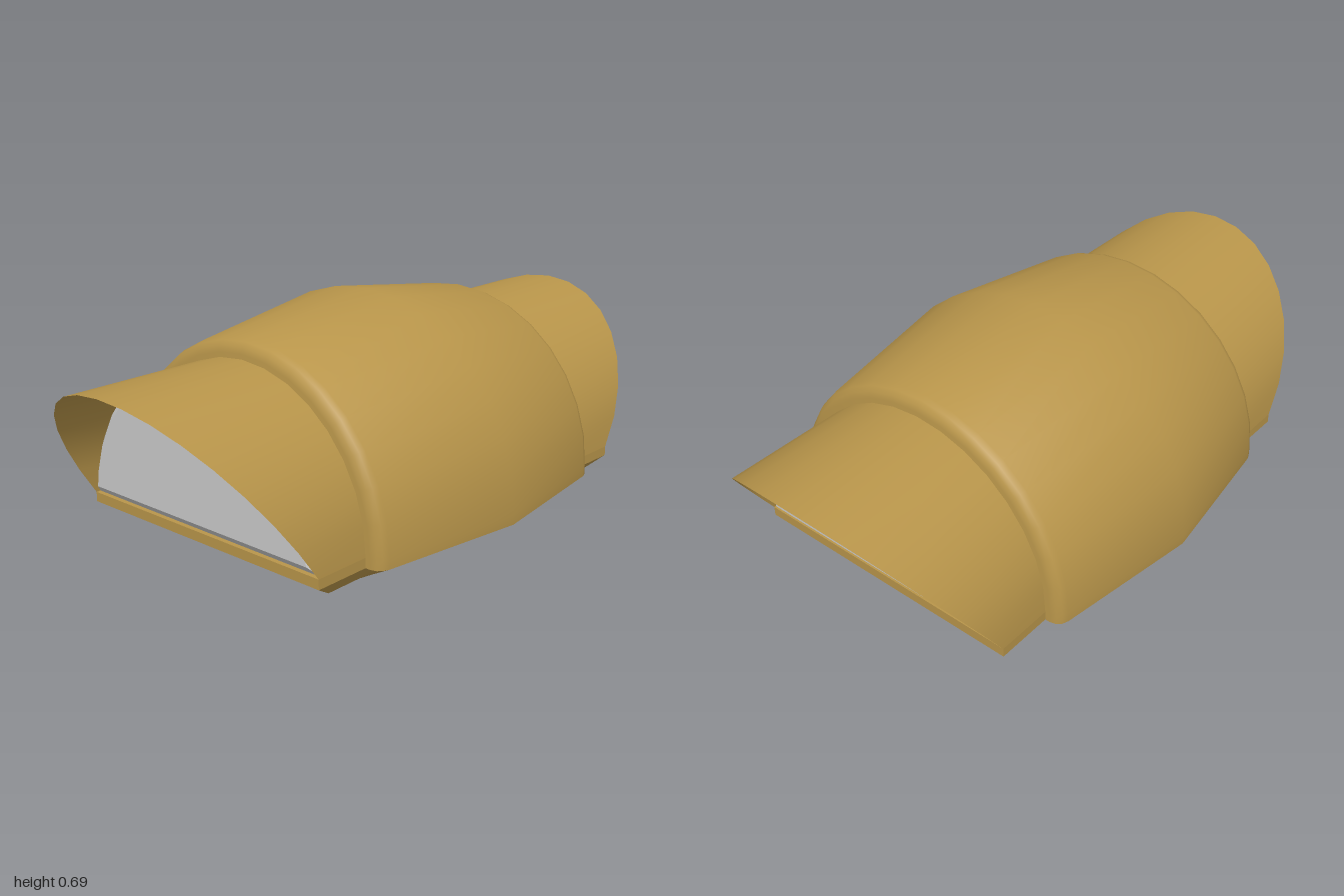
import * as THREE from 'three';
import { toCreasedNormals } from 'three/addons/utils/BufferGeometryUtils.js';

const SPRING = 0.105; // height where the arches begin
const RIM = 0.075;    // top of the chamfered footing
const SEGS = 16;

const brown = new THREE.MeshStandardMaterial({ color: 0xb8954a });
const brownShell = new THREE.MeshStandardMaterial({ color: 0xb8954a, side: THREE.DoubleSide });
const grey = new THREE.MeshStandardMaterial({ color: 0xcccccc });

// Skin a row of equal-length cross-sections, optionally closed and capped
function loft(rings, { closed = true, capFirst = false, capLast = false } = {}) {
  const pos = [];
  const tri = (...pts) => pts.forEach((p) => pos.push(...p));
  const n = rings[0].length;
  for (let j = 0; j < rings.length - 1; j++) {
    for (let i = 0; i < (closed ? n : n - 1); i++) {
      const k = (i + 1) % n;
      const a = rings[j][i], b = rings[j + 1][i], c = rings[j + 1][k], d = rings[j][k];
      tri(a, b, c);
      tri(a, c, d);
    }
  }
  const cap = (ring, last) => {
    // hub lies mid-height, in the plane of the ring's highest point
    const ys = ring.map((p) => p[1]);
    const top = ring[ys.indexOf(Math.max(...ys))];
    const hub = [Math.abs(top[2]) < 0.01 ? top[0] : 0, Math.max(RIM, Math.min(...ys)), 0];
    for (let i = 0; i < n; i++) {
      const k = (i + 1) % n;
      if (last) tri(hub, ring[k], ring[i]);
      else tri(hub, ring[i], ring[k]);
    }
  };
  if (capFirst) cap(rings[0], false);
  if (capLast) cap(rings[rings.length - 1], true);
  const geo = new THREE.BufferGeometry();
  geo.setAttribute('position', new THREE.Float32BufferAttribute(pos, 3));
  return toCreasedNormals(geo, 0.6);
}

// Half-circle of radius r from +z over the top to -z, as [y, z]
function arch(r) {
  return Array.from({ length: SEGS + 1 }, (_, i) => {
    const a = (i / SEGS) * Math.PI;
    return [SPRING + r * Math.sin(a), r * Math.cos(a)];
  });
}

function add(parent, name, geometry, material) {
  const mesh = new THREE.Mesh(geometry, material);
  mesh.name = name;
  parent.add(mesh);
}

export function createModel() {
  const model = new THREE.Group();
  model.name = 'vaultedHut';

  // Bulging central vault with rounded shoulders and chamfered foot
  const half = [[0.47, 0.514], [0.488, 0.507], [0.5, 0.494], [0.505, 0.475]];
  const profile = [...half.map(([x, r]) => [-x, r]).reverse(), [0, 0.58], ...half];
  const vaultRings = profile.map(([x, r]) => {
    const foot = 0.385 + 0.035 * (1 - Math.abs(x) / 0.505);
    return [
      [x * 0.87, 0, foot], [x, RIM, r],
      ...arch(r).map(([y, z]) => [x, y, z]),
      [x, RIM, -r], [x * 0.87, 0, -foot],
    ];
  });
  add(model, 'mainVault', loft(vaultRings, { capFirst: true, capLast: true }), brown);

  // Footing that runs under both entrance hoods
  const baseRings = [[0.57, 0.001, 0.385], [0.685, RIM, 0.46], [0.685, SPRING, 0.46]].map(
    ([x, y, z]) => [[x, y, z], [-x, y, z], [-x, y, -z], [x, y, -z]]
  );
  add(model, 'footing', loft(baseRings, { capFirst: true, capLast: true }), brown);

  // Entrances: thin slant-cut hood over a raised end panel
  for (const side of [1, -1]) {
    const entrance = new THREE.Group();
    entrance.name = side > 0 ? 'leftEntrance' : 'rightEntrance';
    if (side < 0) entrance.rotation.y = Math.PI;

    const curve = arch(0.46);
    const inner = curve.map(([y, z]) => [0.45, y, z]);
    const outer = curve.map(([y, z]) => [0.685 + ((y - SPRING) / 0.46) * 0.315, y, z]);
    add(entrance, 'hood', loft([inner, outer], { closed: false }), brownShell);

    const panelBack = curve.map(([y, z]) => [0.67, y, z]);
    const panelFront = arch(0.43).map(([y, z]) => [0.7, Math.max(y, 0.135), z]);
    add(entrance, 'endPanel', loft([panelBack, panelFront], { capLast: true }), grey);
    model.add(entrance);
  }
  return model;
}
